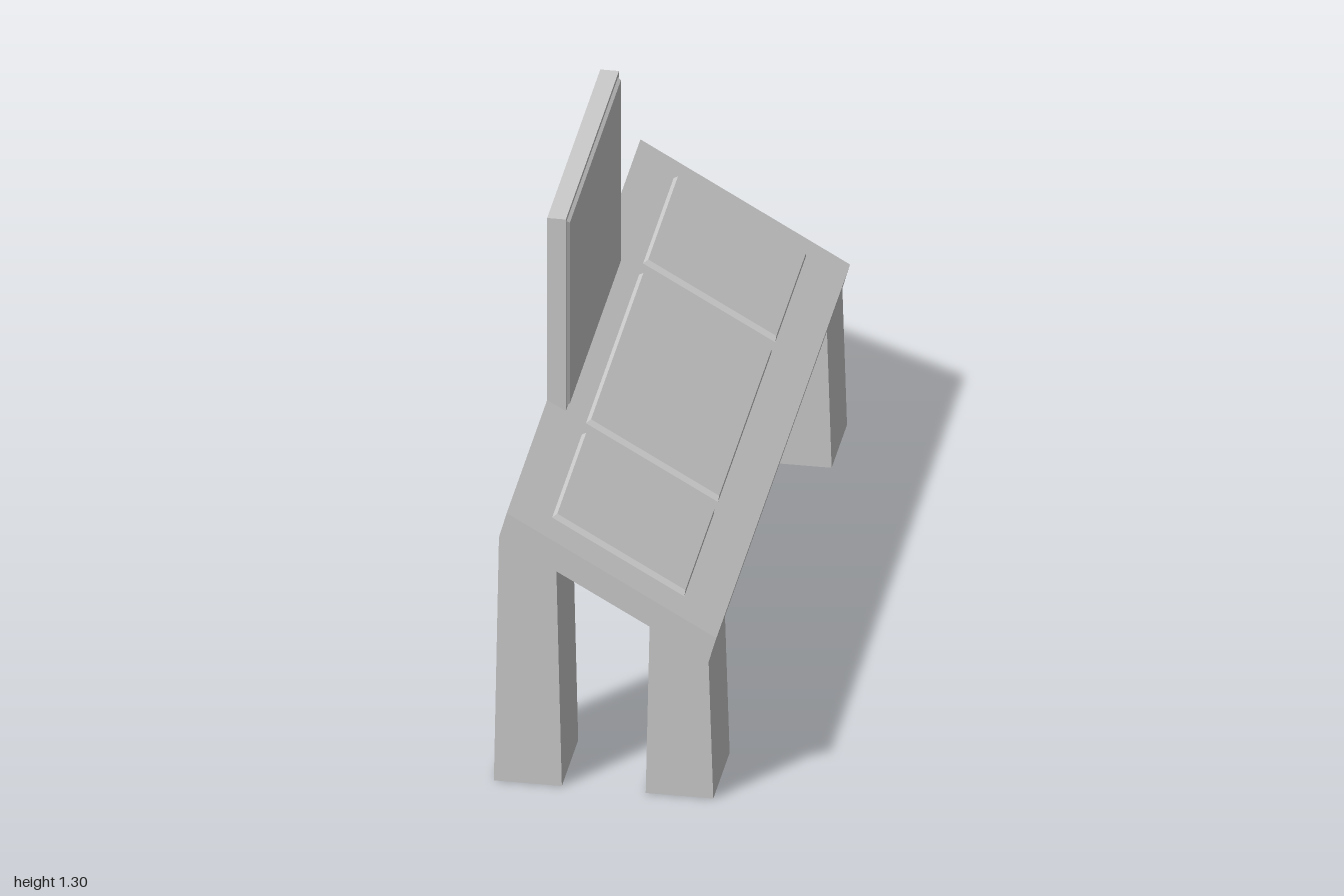
import * as THREE from 'three';

const material = new THREE.MeshStandardMaterial({ color: 0xcccccc, flatShading: true });

// Side profile in x/y, swept from z0 to z1
function prism(name, points, z0, z1) {
  const shape = new THREE.Shape(points.map(([x, y]) => new THREE.Vector2(x, y)));
  const geo = new THREE.ExtrudeGeometry(shape, { depth: z1 - z0, bevelEnabled: false });
  geo.translate(0, 0, z0);
  const mesh = new THREE.Mesh(geo, material);
  mesh.name = name;
  return mesh;
}

// Thin raised panel with sloping edges; its base sits on local y = 0
function raisedPanel(name, length, z0, z1, height, inset, x, y, tilt) {
  const width = z1 - z0;
  const geo = new THREE.BoxGeometry(length, height, width);
  geo.translate(0, height / 2, 0);
  const pos = geo.attributes.position;
  for (let i = 0; i < pos.count; i++) {
    if (pos.getY(i) < height / 2) continue;
    pos.setX(i, pos.getX(i) * (1 - 2 * inset / length));
    pos.setZ(i, pos.getZ(i) * (1 - 2 * inset / width));
  }
  geo.computeVertexNormals();
  const mesh = new THREE.Mesh(geo, material);
  mesh.name = name;
  mesh.position.set(x, y, (z0 + z1) / 2);
  mesh.rotation.z = tilt;
  return mesh;
}

export function createModel() {
  const group = new THREE.Group();

  // Sloping console top
  group.add(prism('consoleTop',
    [[-0.275, 0.705], [0.265, 0.395], [0.285, 0.465], [-0.255, 0.777]], -1, 1));

  // Four tapered legs, cut to meet the sloping underside
  for (const [side, z0, z1] of [['left', 0.755, 1], ['right', -1, -0.77]]) {
    group.add(prism(side + 'TallLeg',
      [[-0.288, 0], [-0.113, 0], [-0.127, 0.62], [-0.275, 0.705]], z0, z1));
    group.add(prism(side + 'ShortLeg',
      [[0.103, 0], [0.277, 0], [0.265, 0.395], [0.113, 0.482]], z0, z1));
  }

  // Raised control panels on the slope
  const slope = -Math.PI / 6;
  for (const [name, z0, z1] of [
    ['leftPanel', 0.455, 0.9], ['centrePanel', -0.4, 0.395], ['rightPanel', -0.917, -0.46],
  ]) {
    group.add(raisedPanel(name, 0.393, z0, z1, 0.014, 0.006, 0.015, 0.621, slope));
  }

  // Upright monitor with a raised screen
  group.add(prism('monitor',
    [[-0.255, 0.777], [-0.207, 0.749], [-0.207, 1.304], [-0.255, 1.304]], -0.4, 0.395));
  group.add(raisedPanel('screen', 0.535, -0.388, 0.385, 0.008, 0.006, -0.207, 1.026, -Math.PI / 2));

  return group;
}
